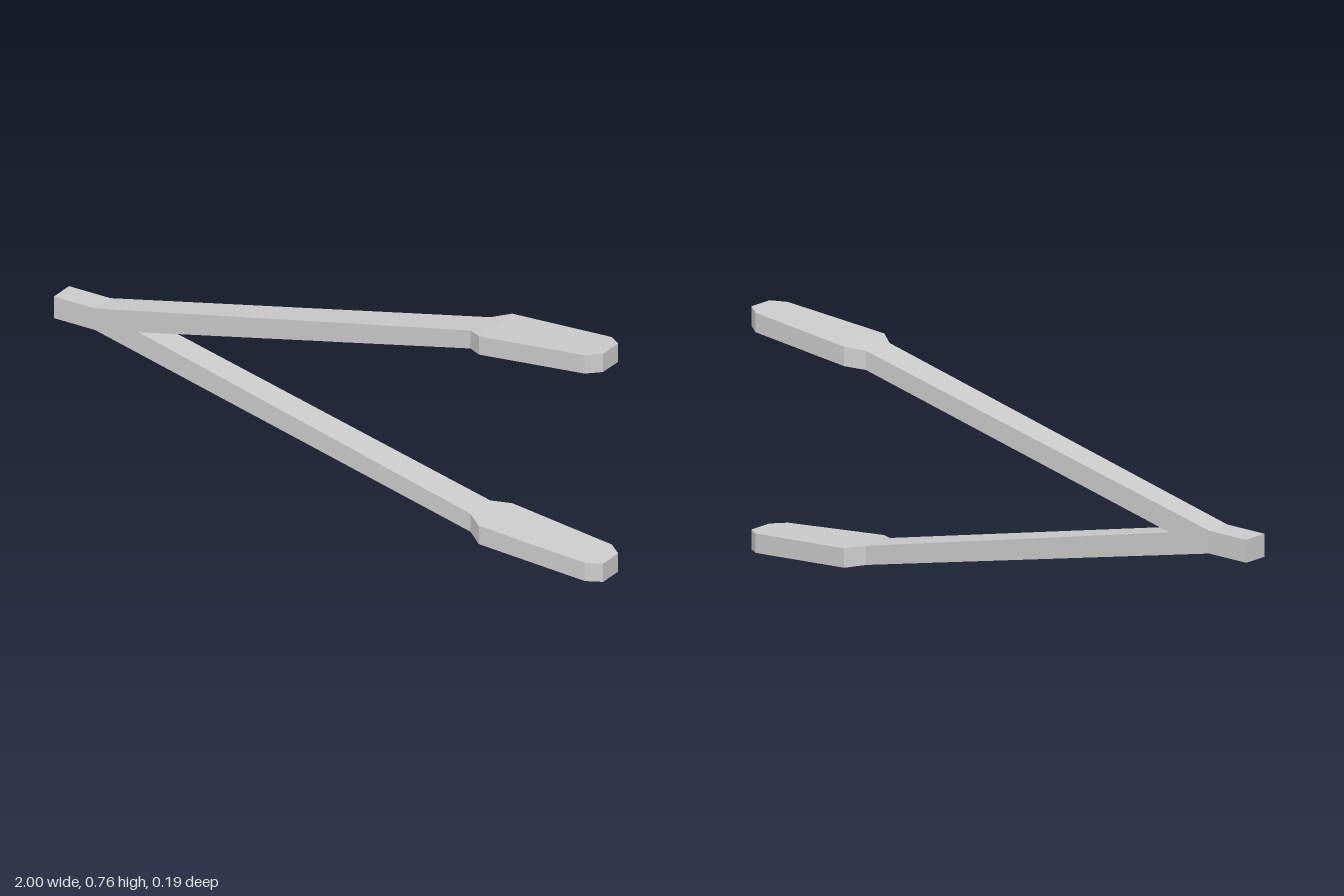
import * as THREE from 'three';

const material = new THREE.MeshStandardMaterial({ color: 0xcccccc, flatShading: true });
const MID = 0.381; // height of the mirror plane between the two arms

// Closed loft through rectangular sections [x, yBottom, yTop, zBack, zFront]
function loft(name, sections) {
  const pos = [];
  const index = [];
  const quad = (a, b, c, d) => index.push(a, b, c, a, c, d);
  for (const [x, yb, yt, zb, zf] of sections) {
    pos.push(x, yb, zf, x, yb, zb, x, yt, zb, x, yt, zf);
  }
  for (let i = 0; i < sections.length - 1; i++) {
    for (let j = 0; j < 4; j++) {
      const k = (j + 1) % 4;
      quad(i * 4 + j, i * 4 + k, i * 4 + 4 + k, i * 4 + 4 + j);
    }
  }
  const e = (sections.length - 1) * 4;
  quad(3, 2, 1, 0);
  quad(e, e + 1, e + 2, e + 3);
  const indexed = new THREE.BufferGeometry();
  indexed.setAttribute('position', new THREE.Float32BufferAttribute(pos, 3));
  indexed.setIndex(index);
  const geometry = indexed.toNonIndexed();
  geometry.computeVertexNormals();
  const mesh = new THREE.Mesh(geometry, material);
  mesh.name = name;
  return mesh;
}

// Same section reflected to the lower arm
const mirror = ([x, yb, yt, zb, zf]) => [x, 2 * MID - yt, 2 * MID - yb, zb, zf];

export function createModel() {
  const group = new THREE.Group();
  group.name = 'tongs';

  const root = [-0.85, 0.345, 0.417, -0.086, 0.0];
  const neck = [0.525, 0.657, 0.717, -0.058, 0.053];
  const shoulder = [0.58, 0.667, 0.728, -0.095, 0.093];

  // Joined end
  group.add(loft('joint', [[-1, 0.345, 0.417, -0.09, -0.004], root]));

  // Arms with widened gripping pads, mirrored top to bottom
  const arm = [root, neck];
  const pad = [
    neck,
    shoulder,
    [0.955, 0.697, 0.758, -0.065, 0.087],
    [1, 0.701, 0.762, -0.03, 0.055],
  ];
  group.add(loft('upperArm', arm), loft('upperPad', pad));
  group.add(loft('lowerArm', arm.map(mirror)), loft('lowerPad', pad.map(mirror)));
  return group;
}
